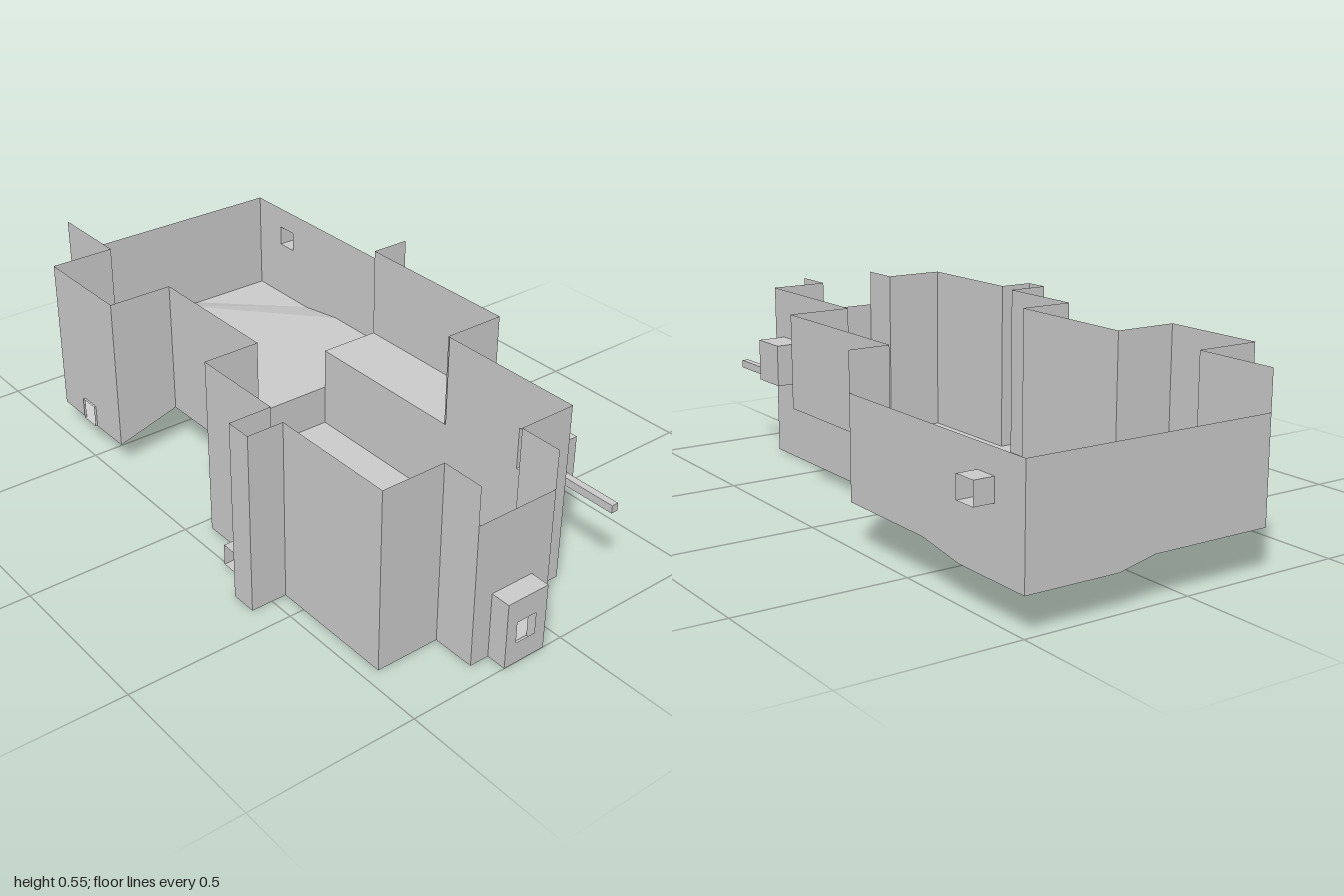
import * as THREE from 'three';

export function createModel() {
  const group = new THREE.Group();
  const material = new THREE.MeshStandardMaterial({ color: 0xcccccc, side: THREE.DoubleSide, flatShading: true });
  const TOP = 0.545, LOW = 0.43, STEP = 0.13, SILL = 0.26;

  function add(name, geometry) {
    const mesh = new THREE.Mesh(geometry, material);
    mesh.name = name;
    group.add(mesh);
    return mesh;
  }

  // Flat sheet from a 2D outline, placed in space by a mapping rule
  function sheet(name, points, holes, place) {
    const shape = new THREE.Shape(points.map(p => new THREE.Vector2(...p)));
    for (const [u0, u1, v0, v1] of holes) {
      shape.holes.push(new THREE.Path([[u0, v0], [u0, v1], [u1, v1], [u1, v0]].map(p => new THREE.Vector2(...p))));
    }
    const geometry = new THREE.ShapeGeometry(shape);
    const pos = geometry.attributes.position;
    for (let i = 0; i < pos.count; i++) pos.setXYZ(i, ...place(pos.getX(i), pos.getY(i)));
    geometry.computeVertexNormals();
    return add(name, geometry);
  }
  const rect = (u0, u1, v0, v1) => [[u0, v0], [u1, v0], [u1, v1], [u0, v1]];
  // Wall running along x at a given z, and along z at a given x
  const wallX = (name, z, points, holes = []) => sheet(name, points, holes, (x, y) => [x, y, z]);
  const wallZ = (name, x, points, holes = []) => sheet(name, points, holes, (z, y) => [x, y, z]);
  const floor = (name, points, height) => sheet(name, points, [], (x, z) => [x, height(x, z), z]);

  // Box with some faces left out; face order: +x -x +y -y +z -z
  function duct(name, [x0, x1], [y0, y1], [z0, z1], open) {
    const geometry = new THREE.BoxGeometry(x1 - x0, y1 - y0, z1 - z0);
    const index = Array.from(geometry.index.array);
    geometry.setIndex(index.filter((_, i) => !open.includes(Math.floor(i / 6))));
    geometry.clearGroups();
    add(name, geometry).position.set((x0 + x1) / 2, (y0 + y1) / 2, (z0 + z1) / 2);
  }

  // Front room: floor and full-height walls
  const plan = [
    [-0.26, -0.22], [0.18, -0.22], [0.18, 0.81], [0, 0.81], [0, 0.94], [-0.26, 0.94], [-0.26, 0.81],
    [-0.455, 0.81], [-0.455, 0.42], [-0.565, 0.42], [-0.565, 0.34], [-0.435, 0.34], [-0.435, 0.04], [-0.26, 0.04]
  ];
  floor('frontRoomFloor', plan, () => 0);
  for (let i = 2; i < plan.length; i++) {
    const [ax, az] = plan[i], [bx, bz] = plan[(i + 1) % plan.length];
    if (i === 4 || i === 11) continue; // walls with openings follow
    if (az === bz) wallX('frontRoomWall', az, rect(ax, bx, 0, TOP));
    else wallZ('frontRoomWall', ax, rect(az, bz, 0, TOP));
  }
  wallX('lowFrontWall', 0.94, rect(-0.26, 0, 0, LOW), [[-0.2, -0.063, 0.001, 0.2]]);
  wallZ('rightRecessWall', -0.435, rect(0.04, 0.34, 0, TOP), [[0.205, 0.27, 0.001, 0.065]]);
  wallZ('leftRoomWall', 0.18, rect(0.34, 0.81, 0, TOP), [[0.63, 0.755, SILL, 0.39]]);
  wallZ('underAlcoveWall', 0.18, rect(-0.22, 0.34, 0, SILL));
  wallX('roomStep', -0.22, rect(-0.26, 0.18, 0, STEP));

  // Raised alcove on the left side
  floor('alcoveFloor', rect(0.18, 0.375, -0.22, 0.335), () => SILL);
  wallZ('alcoveSideWall', 0.375, rect(-0.22, 0.335, SILL, TOP));
  wallX('alcoveFrontWall', 0.335, rect(0.18, 0.375, SILL, TOP), [[0.27, 0.316, 0.262, 0.327]]);
  duct('alcoveWindowFrame', [0.27, 0.316], [0.262, 0.327], [0.335, 0.347], [4, 5]);
  wallX('alcoveStep', -0.22, rect(0.18, 0.375, STEP, SILL));

  // Back room: walls whose lower edges follow the sunken corner
  wallX('backRoomFrontWall', -0.22, rect(0.375, 0.5, STEP, TOP));
  wallZ('backRoomLeftWall', 0.5,
    [[-0.22, STEP], [-0.57, STEP], [-0.735, 0.105], [-1, 0.105], [-1, LOW], [-0.22, LOW]],
    [[-0.88, -0.81], [0.295, 0.36]].length ? [[-0.88, -0.81, 0.295, 0.36]] : []);
  wallX('backWall', -1, [[-0.26, STEP], [0.11, STEP], [0.22, 0.105], [0.5, 0.105], [0.5, LOW], [-0.26, LOW]]);
  wallZ('backRoomRightWall', -0.26, rect(-0.405, -0.22, STEP, TOP));
  wallZ('backRoomRightWall', -0.26, rect(-1, -0.735, STEP, TOP));

  // Back room floor with a ramp down to the corner
  floor('backRoomFloor', [[-0.26, -0.22], [0.5, -0.22], [0.5, -0.57], [0.11, -1], [-0.26, -1]], () => STEP);
  floor('cornerRamp', [[0.5, -0.57], [0.5, -0.735], [0.22, -1], [0.11, -1]],
    (x, z) => (x < 0.15 || z > -0.6 ? STEP : 0.105));
  floor('cornerFloor', [[0.5, -0.735], [0.5, -1], [0.22, -1]], () => 0.105);

  // Right bay with a floor sloping outwards
  floor('bayFloor', rect(-0.46, -0.26, -0.735, -0.405), x => STEP + (x + 0.26) * 0.3);
  for (const z of [-0.735, -0.405]) {
    wallX('bayEndWall', z, [[-0.46, 0.07], [-0.26, STEP], [-0.26, TOP], [-0.46, TOP]]);
  }
  wallZ('bayOuterWall', -0.46, rect(-0.735, -0.405, 0.07, TOP), [[-0.61, -0.545, 0.072, 0.14]]);
  duct('bayWindowFrame', [-0.467, -0.46], [0.072, 0.14], [-0.61, -0.545], [0, 1]);

  // Front box with a square hatch
  duct('frontBox', [-0.2, -0.063], [0, 0.2], [0.94, 1], [4, 5]);
  wallX('frontBoxFace', 1, rect(-0.2, -0.063, 0, 0.2), [[-0.165, -0.1, 0.065, 0.13]]);

  // Left side box with a thin forward pipe
  duct('sideBox', [0.18, 0.27], [SILL, 0.39], [0.63, 0.755], [1]);
  duct('sidePipe', [0.22, 0.242], [0.264, 0.288], [0.755, 0.942], [5]);

  // Short open ducts through the outer walls
  duct('backLeftDuct', [0.5, 0.56], [0.295, 0.36], [-0.88, -0.81], [0, 1]);
  duct('rightDuct', [-0.505, -0.435], [0, 0.065], [0.205, 0.27], [0, 1]);

  return group;
}
